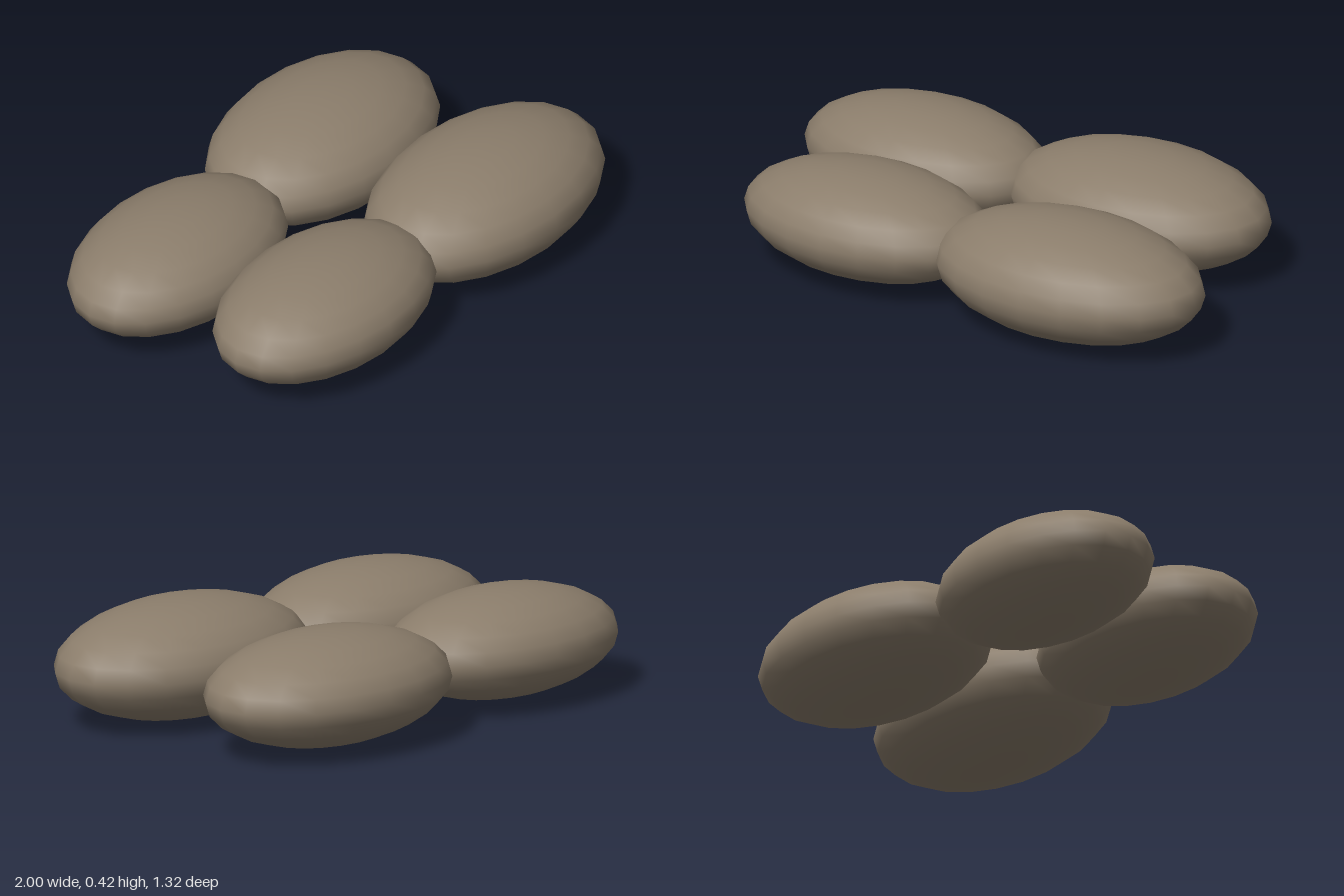
import * as THREE from 'three';

export function createModel() {
  const group = new THREE.Group();
  group.name = 'steppingStones';
  const stone = new THREE.MeshStandardMaterial({ color: 0x8b7d6b });
  stone.name = 'stone';

  // One smooth unit pebble, stretched for each stone
  const pebble = new THREE.SphereGeometry(1, 20, 12);

  // name, centre x, centre z, radii x y z, yaw
  const stones = [
    ['frontLeftStone', 0.47, 0.32, 0.53, 0.212, 0.34, 0.01],
    ['backLeftStone', 0.342, -0.325, 0.51, 0.202, 0.34, 0.02],
    ['frontRightStone', -0.39, 0.315, 0.486, 0.193, 0.315, 0],
    ['backRightStone', -0.52, -0.26, 0.48, 0.194, 0.312, 0],
  ];
  for (const [name, x, z, rx, ry, rz, yaw] of stones) {
    const mesh = new THREE.Mesh(pebble, stone);
    mesh.name = name;
    mesh.position.set(x, 0.215, z);
    mesh.scale.set(rx, ry, rz);
    mesh.rotation.y = yaw;
    group.add(mesh);
  }
  return group;
}
